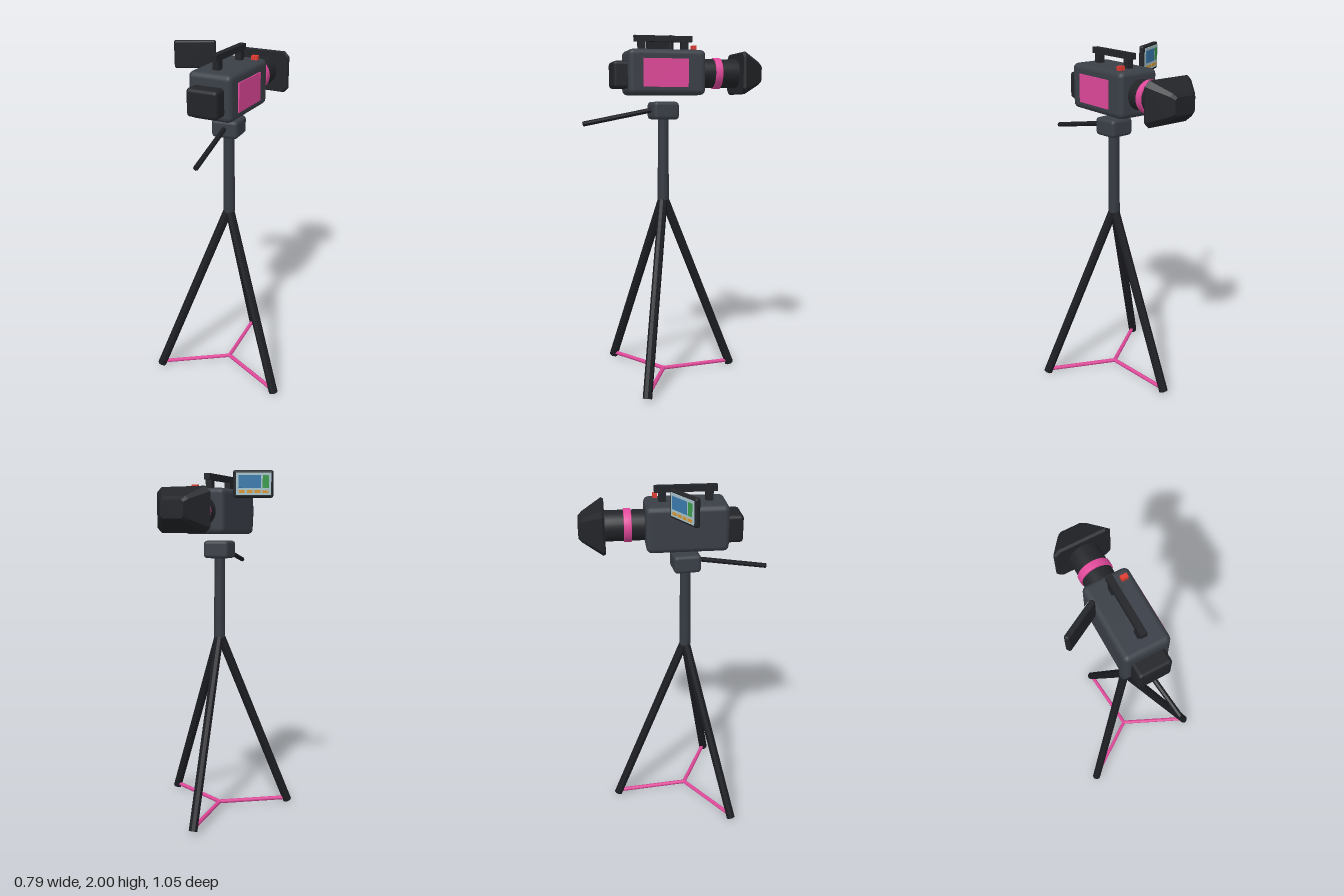
import * as THREE from 'three';
import { RoundedBoxGeometry } from 'three/addons/geometries/RoundedBoxGeometry.js';

const mat = (color, flat = false) => new THREE.MeshStandardMaterial({ color, flatShading: flat });
const shell = mat(0x3a3f47), dark = mat(0x222428), legMat = mat(0x1c1d22, true);
const steel = mat(0x363b43), pink = mat(0xe0489a), red = mat(0xe03c32);

function add(parent, name, geometry, material, x = 0, y = 0, z = 0) {
  const mesh = new THREE.Mesh(geometry, material);
  mesh.name = name;
  mesh.position.set(x, y, z);
  parent.add(mesh);
  return mesh;
}

const rounded = (w, h, d, r) => new RoundedBoxGeometry(w, h, d, 2, r);
const box = (w, h, d) => new THREE.BoxGeometry(w, h, d);

// Straight rod between two points
function rod(parent, name, a, b, radius, sides, material) {
  const from = new THREE.Vector3(...a), to = new THREE.Vector3(...b);
  const dir = to.clone().sub(from);
  const mesh = add(parent, name, new THREE.CylinderGeometry(radius, radius, dir.length(), sides), material);
  mesh.position.copy(from).add(to).multiplyScalar(0.5);
  mesh.quaternion.setFromUnitVectors(new THREE.Vector3(0, 1, 0), dir.normalize());
  return mesh;
}

// Cylinder along z from a bevelled profile, centred on its own length
function barrel(radius, length, bevel) {
  const h = length / 2;
  const profile = [[0, -h], [radius - bevel, -h], [radius, -h + bevel], [radius, h - bevel], [radius - bevel, h], [0, h]];
  const geo = new THREE.LatheGeometry(profile.map(p => new THREE.Vector2(...p)), 28);
  return geo.rotateX(Math.PI / 2);
}

// Solid lofted along -z through rectangles with cut corners: [z, halfWidth, halfHeight, cut]
function loft(sections) {
  const pos = [], index = [], n = 8;
  for (const [z, w, h, c] of sections) {
    const ring = [[w, h - c], [w - c, h], [c - w, h], [-w, h - c], [-w, c - h], [c - w, -h], [w - c, -h], [w, c - h]];
    for (const [x, y] of ring) pos.push(x, y, z);
  }
  for (let s = 0; s < sections.length - 1; s++) {
    for (let i = 0; i < n; i++) {
      const a = s * n + i, b = s * n + (i + 1) % n;
      index.push(a, a + n, b, b, a + n, b + n);
    }
  }
  const end = (sections.length - 1) * n;
  for (let i = 1; i < n - 1; i++) index.push(0, i, i + 1, end, end + i + 1, end + i);
  const geo = new THREE.BufferGeometry();
  geo.setAttribute('position', new THREE.Float32BufferAttribute(pos, 3));
  geo.setIndex(index);
  const flat = geo.toNonIndexed();
  flat.computeVertexNormals();
  return flat;
}

function createTripod() {
  const tripod = new THREE.Group();
  tripod.name = 'tripod';
  tripod.position.z = 0.05;
  for (let i = 0; i < 3; i++) {
    const angle = Math.PI / 6 + i * Math.PI * 2 / 3;
    const x = 0.43 * Math.cos(angle), z = 0.43 * Math.sin(angle);
    rod(tripod, 'leg', [0, 1.07, 0], [x, 0.01, z], 0.026, 8, legMat);
    rod(tripod, 'spreader', [0, 0.026, 0], [x, 0.026, z], 0.012, 8, pink);
  }
  add(tripod, 'centreColumn', new THREE.CylinderGeometry(0.03, 0.033, 0.48, 16), steel, 0, 1.29, 0);
  add(tripod, 'panHead', rounded(0.15, 0.1, 0.15, 0.02), shell, 0, 1.563, 0);
  rod(tripod, 'panHandle', [0, 1.57, 0.05], [0.017, 1.49, 0.47], 0.014, 8, legMat);
  return tripod;
}

// Flip-out monitor, its display facing -z
function createMonitor() {
  const monitor = new THREE.Group();
  monitor.name = 'monitor';
  add(monitor, 'monitorCase', rounded(0.225, 0.15, 0.03, 0.012), dark);
  add(monitor, 'displayFrame', box(0.195, 0.122, 0.004), mat(0xa9c4cc), 0, 0, -0.016);
  add(monitor, 'displayPicture', box(0.125, 0.068, 0.004), mat(0x3a7cae), 0.022, 0.012, -0.018);
  add(monitor, 'displayMeter', box(0.034, 0.068, 0.004), mat(0x3a9b4c), -0.067, 0.012, -0.018);
  for (let i = 0; i < 4; i++) {
    add(monitor, 'displayKey', box(0.032, 0.016, 0.004), mat(0xd9982f), 0.066 - i * 0.044, -0.043, -0.018);
  }
  return monitor;
}

function createCamera() {
  const camera = new THREE.Group();
  camera.name = 'videoCamera';
  camera.position.set(0, 1.775, 0.05);
  camera.rotation.y = -0.087;

  // Body, rear pack and side panel
  add(camera, 'body', rounded(0.25, 0.25, 0.44, 0.03), shell);
  add(camera, 'rearPack', rounded(0.18, 0.15, 0.1, 0.02), dark, -0.002, -0.015, 0.25);
  add(camera, 'sidePanel', box(0.012, 0.155, 0.255), pink, 0.126, -0.004, 0.012);
  add(camera, 'recordButton', box(0.036, 0.03, 0.024), red, 0.077, 0.133, -0.158);

  // Carrying handle
  add(camera, 'handleBar', box(0.035, 0.033, 0.335), dark, 0, 0.19, 0);
  for (const z of [-0.125, 0.125]) add(camera, 'handlePost', box(0.035, 0.065, 0.04), dark, 0, 0.149, z);

  // Lens with focus ring and tapered hood
  add(camera, 'lensBarrel', barrel(0.082, 0.24, 0.01), dark, 0, 0, -0.335);
  add(camera, 'focusRing', barrel(0.089, 0.042, 0.003), pink, 0, 0, -0.312);
  add(camera, 'lensHood', loft([
    [-0.432, 0.148, 0.112, 0.026],
    [-0.445, 0.156, 0.119, 0.028],
    [-0.55, 0.083, 0.065, 0.016],
    [-0.571, 0.066, 0.046, 0.012],
  ]), dark);
  return camera;
}

export function createModel() {
  const model = new THREE.Group();
  model.name = 'cameraOnTripod';
  const monitor = createMonitor();
  monitor.position.set(-0.217, 1.925, 0);
  monitor.rotation.y = 0.42;
  model.add(createTripod(), createCamera(), monitor);
  return model;
}
